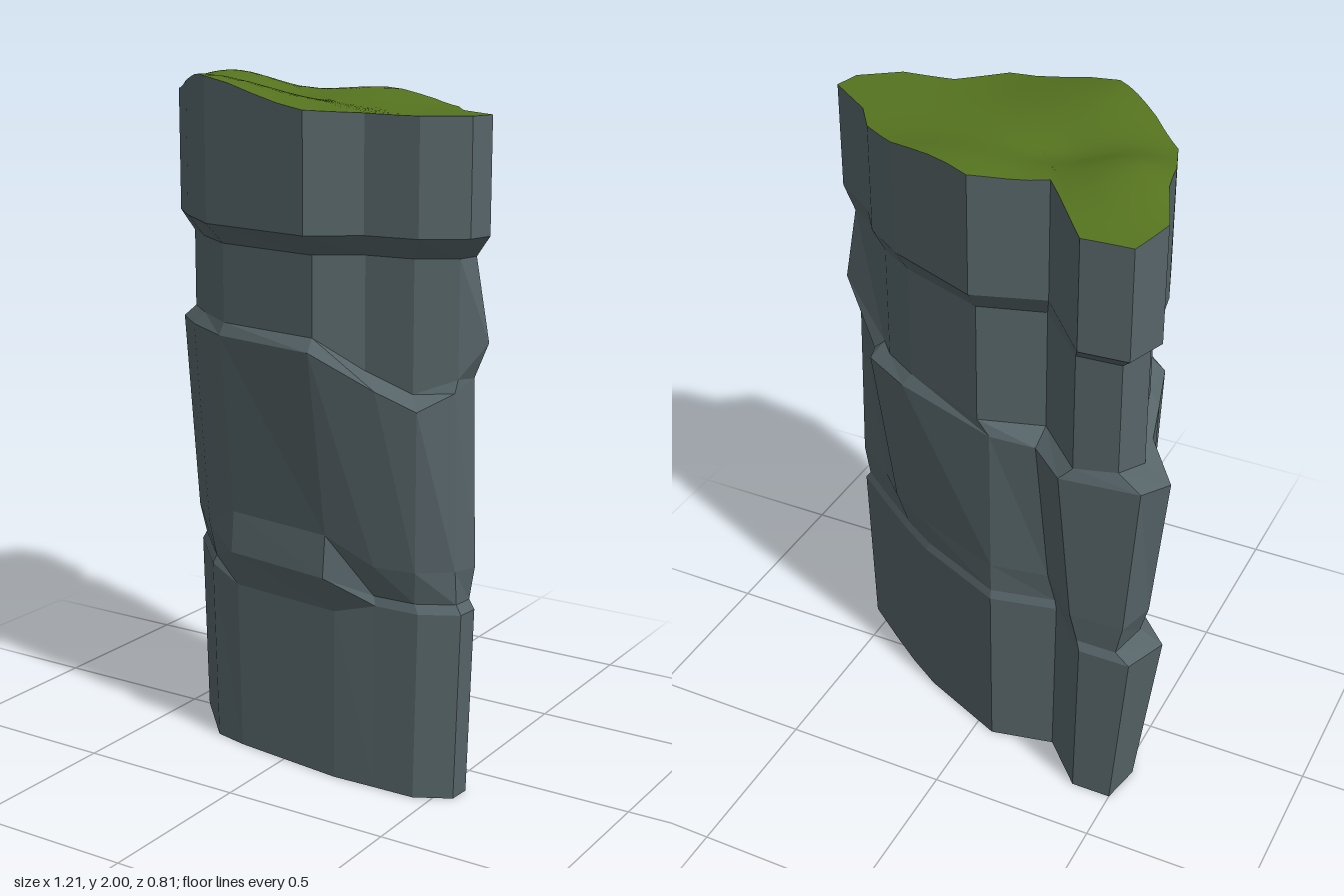
import * as THREE from 'three';

// Three key outlines as [x, z], running back-left -> back -> right -> front -> left
const base = [[-.5, -.335], [-.38, -.335], [-.25, -.2], [-.06, -.24], [.21, -.12], [.32, -.05], [.43, .03], [.555, .125], [.55, .19],
  [.45, .245], [.32, .247], [.19, .25], [-.165, .205], [-.27, .18], [-.44, 0], [-.465, -.06], [-.49, -.12], [-.525, -.21]];
const body = [[-.56, -.355], [-.32, -.355], [-.2, -.24], [-.06, -.245], [.27, -.145], [.425, -.055], [.46, .03], [.555, .12], [.54, .2],
  [.48, .3], [.37, .335], [.18, .37], [-.17, .29], [-.34, .18], [-.45, .08], [-.49, -.06], [-.51, -.15], [-.605, -.25]];
const cap = [[-.53, -.4], [-.39, -.41], [-.22, -.21], [-.015, -.275], [.27, -.155], [.39, -.07], [.46, .03], [.605, .14], [.59, .22],
  [.48, .3], [.32, .31], [.19, .405], [-.18, .33], [-.34, .2], [-.445, .095], [-.5, -.06], [-.52, -.16], [-.57, -.28]];

// Ledge height for each column of the outline
const ledgeY = [1.16, 1.14, 1.13, 1.13, 1.15, 1.15, 1.13, 1.2, 1.17, 1.13, 1.18, 1.27, 1.27, 1.27, 1.27, 1.25, 1.2, 1.14];

const N = base.length;
// Extra depth of the blocky step on the front, and of the side lobe
const step = { 11: .06, 12: .045 };
const lobe = { 0: .03, 17: .055 };
const mix = (a, b, t) => a + (b - a) * t;
const ring = (fn) => Array.from({ length: N }, (_, i) => fn(i));

// Rolling surface of the grass
const hump = (x, z, h, cx, cz, wx, wz) => h * Math.exp(-((x - cx) ** 2) / wx - ((z - cz) ** 2) / wz);
const grassY = (x, z) => 1.905
  + hump(x, z, .09, -.22, .3, .09, .05)
  + hump(x, z, .08, -.42, -.13, .04, .03)
  + hump(x, z, .04, .05, -.22, .06, .03)
  + hump(x, z, -.02, -.18, -.02, .02, .008);

// Joins rings of [x, y, z] points into a closed band
function loft(rings, flat) {
  const n = rings[0].length;
  const index = [];
  for (let r = 0; r < rings.length - 1; r++) {
    for (let i = 0; i < n; i++) {
      const j = (i + 1) % n;
      const a = r * n + i, b = r * n + j, c = b + n, d = a + n;
      index.push(a, d, c, a, c, b);
    }
  }
  let geo = new THREE.BufferGeometry();
  geo.setAttribute('position', new THREE.Float32BufferAttribute(rings.flat(2), 3));
  geo.setIndex(index);
  if (flat) geo = geo.toNonIndexed();
  geo.computeVertexNormals();
  return geo;
}

export function createModel() {
  // Both are open shells, so they show from inside as well
  const stone = new THREE.MeshStandardMaterial({ color: 0x566468, side: THREE.DoubleSide });
  stone.name = 'slate stone';
  const grass = new THREE.MeshStandardMaterial({ color: 0x55731f, side: THREE.DoubleSide });
  grass.name = 'moss green';

  const group = new THREE.Group();
  group.name = 'rockPillar';
  const add = (name, geo, mat) => {
    const mesh = new THREE.Mesh(geo, mat);
    mesh.name = name;
    group.add(mesh);
  };

  const neck = cap.map(([x, z]) => [x * .915, z * .83]);

  // Bottom block, open underneath, flaring slightly to the lower ledge
  const foot = ring((i) => [base[i][0], 0, base[i][1]]);
  const lowerRim = ring((i) => [
    base[i][0] * 1.035 - (lobe[i] ?? 0),
    step[i] ? .51 : .55,
    base[i][1] * 1.04]);
  const lowerInner = ring((i) => [
    base[i][0],
    step[i] ? .62 : .575,
    base[i][1] + (step[i] ?? 0)]);
  add('lowerBlock', loft([foot, lowerRim, lowerInner], true), stone);

  // Middle block, widening up to the uneven upper ledge, with a spur on the +x side
  const waist = ring((i) => [
    mix(body[i][0], base[i][0], .65) + (i === 7 ? .015 : 0),
    step[i] ? .74 : .67,
    mix(body[i][1], base[i][1], .65)]);
  const upperRim = ring((i) => [body[i][0], ledgeY[i], body[i][1]]);
  const upperInner = ring((i) => (i === 7
    ? [.595, 1.3, .115]
    : [neck[i][0], ledgeY[i] + .035, neck[i][1]]));
  add('middleBlock', loft([lowerInner, waist, upperRim, upperInner], true), stone);

  // Recessed neck and the sloping underside of the cap
  const neckTop = ring((i) => [neck[i][0], 1.53, neck[i][1]]);
  const capBottom = ring((i) => [cap[i][0], 1.59, cap[i][1]]);
  add('neck', loft([upperInner, neckTop, capBottom], true), stone);

  // Cap wall, subdivided so its top follows the rolling grass
  const steps = 4;
  const rim = cap.flatMap(([x, z], i) => {
    const [nx, nz] = cap[(i + 1) % N];
    return Array.from({ length: steps }, (_, s) => [mix(x, nx, s / steps), mix(z, nz, s / steps)]);
  });
  add('capWall', loft([
    rim.map(([x, z]) => [x, 1.59, z]),
    rim.map(([x, z]) => [x, grassY(x, z), z])], true), stone);

  // Grass, drawn in from the rim to a centre point
  const turf = [];
  for (let k = 0; k <= 12; k++) {
    turf.push(rim.map(([x, z]) => {
      const px = mix(x, -.1, k / 12), pz = mix(z, 0, k / 12);
      return [px, grassY(px, pz), pz];
    }));
  }
  add('grassTop', loft(turf, false), grass);

  return group;
}
